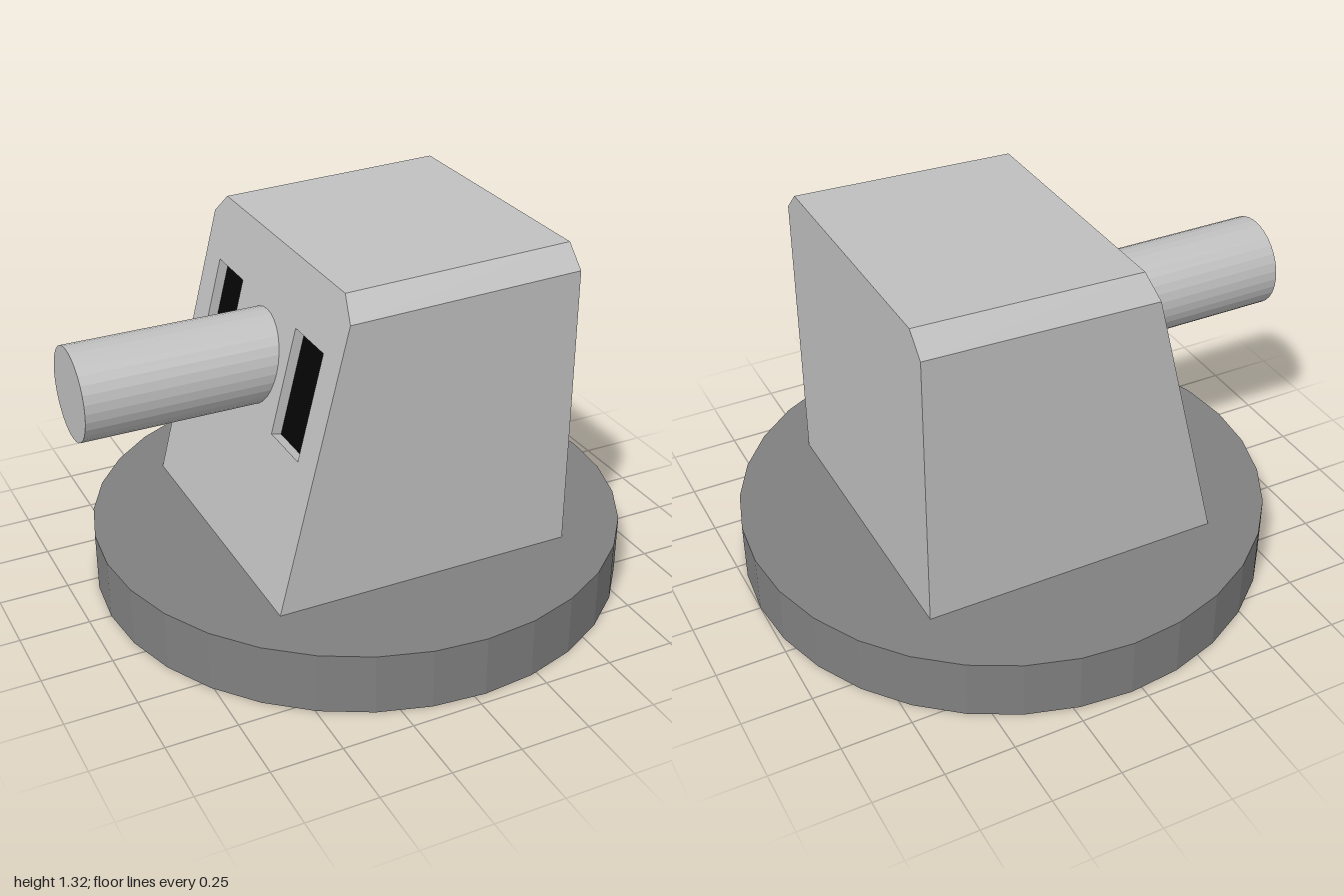
import * as THREE from 'three';

const bodyMat = new THREE.MeshStandardMaterial({ color: 0xc0c0c0 });
bodyMat.name = 'lightGrey';
bodyMat.flatShading = true;
const baseMat = new THREE.MeshStandardMaterial({ color: 0x808080 });
baseMat.name = 'midGrey';
baseMat.flatShading = true;
const slotMat = new THREE.MeshStandardMaterial({ color: 0x050505 });
slotMat.name = 'black';

// Flat-faced geometry from convex polygons (counter-clockwise from outside)
function polygons(faces) {
  const pos = [];
  for (const f of faces)
    for (let i = 1; i < f.length - 1; i++) pos.push(...f[0], ...f[i], ...f[i + 1]);
  const g = new THREE.BufferGeometry();
  g.setAttribute('position', new THREE.Float32BufferAttribute(pos, 3));
  g.computeVertexNormals();
  return g;
}

function add(parent, name, geometry, material) {
  const mesh = new THREE.Mesh(geometry, material);
  mesh.name = name;
  parent.add(mesh);
  return mesh;
}

export function createModel() {
  const model = new THREE.Group();
  model.name = 'turret';

  // Round base
  add(model, 'base', new THREE.CylinderGeometry(0.96, 0.96, 0.22, 32), baseMat).position.set(0.04, 0.11, 0);

  // Housing: cross-section with chamfered top corners, sloped at the -x end
  const bottom = new THREE.Vector2(-0.51, 0.22), top = new THREE.Vector2(-0.235, 1.295);
  const slope = top.clone().sub(bottom);
  const length = slope.length();
  slope.normalize();
  const section = [[0.55, 0, 0.22], [0.55, 1.032, 1.245], [0.475, length, 1.32],
    [-0.475, length, 1.32], [-0.55, 1.032, 1.245], [-0.55, 0, 0.22]]; // z, distance up slope, rear y
  const front = section.map(([z, s]) => [bottom.x + slope.x * s, bottom.y + slope.y * s, z]);
  const rear = section.map(([z, , y]) => [0.585, y, z]);
  const sides = front.map((p, i) => {
    const j = (i + 1) % front.length;
    return [p, rear[i], rear[j], front[j]];
  });
  add(model, 'housing', polygons([...sides, [...rear].reverse()]), bodyMat);

  // Sloped face, in its own frame: x along the width, y up the slope, z outward
  const face = new THREE.Group();
  face.name = 'slopedFace';
  face.applyMatrix4(new THREE.Matrix4().makeBasis(
    new THREE.Vector3(0, 0, 1),
    new THREE.Vector3(slope.x, slope.y, 0),
    new THREE.Vector3(-slope.y, slope.x, 0)).setPosition(bottom.x, bottom.y, 0));
  model.add(face);

  const plate = new THREE.Shape(section.map(([z, s]) => new THREE.Vector2(z, s)));
  const s0 = 0.506, s1 = 0.888, depth = 0.036;
  for (const side of [-1, 1]) {
    const c = 0.325 * side, a = c - 0.105, b = c + 0.105;
    const rect = [[a, s0], [b, s0], [b, s1], [a, s1]];
    plate.holes.push(new THREE.Path(rect.map(([x, y]) => new THREE.Vector2(x, y))));
    // Recess walls facing into the slot
    const walls = rect.map(([x, y], i) => {
      const [u, v] = rect[(i + 1) % 4];
      return [[x, y, 0], [u, v, 0], [u, v, -depth], [x, y, -depth]];
    });
    add(face, 'slotWalls', polygons(walls), bodyMat);
    // Dark slot panel
    add(face, 'slotPanel', new THREE.PlaneGeometry(0.21, s1 - s0), slotMat)
      .position.set(c, (s0 + s1) / 2, -depth);
  }
  add(face, 'slopedPlate', new THREE.ShapeGeometry(plate), bodyMat);

  // Barrel
  const barrel = add(model, 'barrel', new THREE.CylinderGeometry(0.163, 0.163, 0.78, 32), bodyMat);
  barrel.rotation.z = Math.PI / 2;
  barrel.position.set(-0.61, 0.898, 0);

  return model;
}
